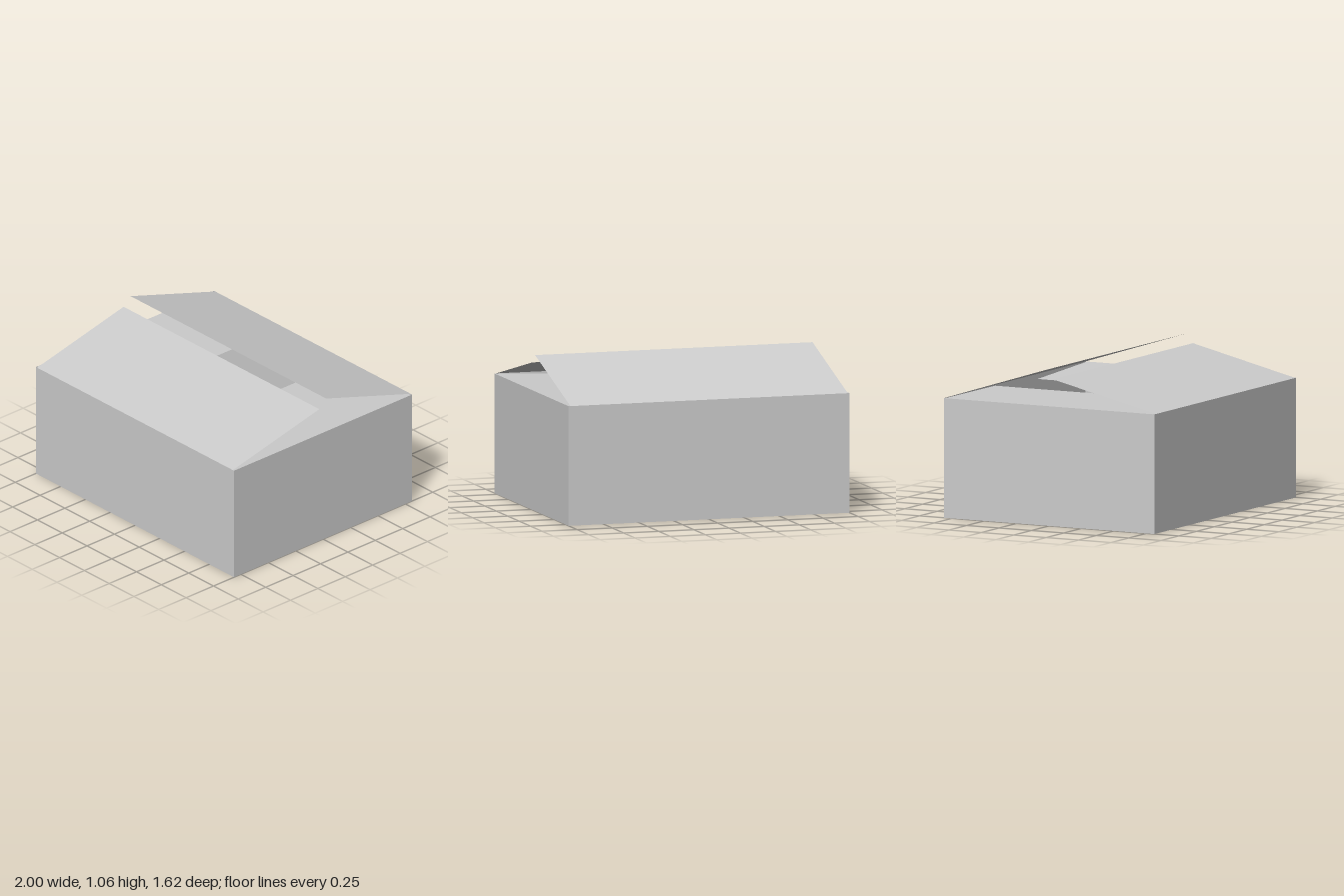
import * as THREE from 'three';

const W = 2, D = 1.625, H = 0.818;

export function createModel() {
  const model = new THREE.Group();
  const card = new THREE.MeshStandardMaterial({
    color: 0xcccccc, side: THREE.DoubleSide, flatShading: true,
  });

  // Thin upright sheet of card, facing the given heading
  const wall = (name, width, x, z, heading) => {
    const mesh = new THREE.Mesh(new THREE.PlaneGeometry(width, H), card);
    mesh.name = name;
    mesh.position.set(x, H / 2, z);
    mesh.rotation.y = heading;
    model.add(mesh);
  };
  wall('frontWall', W, 0, D / 2, 0);
  wall('backWall', W, 0, -D / 2, Math.PI);
  wall('leftWall', D, W / 2, 0, Math.PI / 2);
  wall('rightWall', D, -W / 2, 0, -Math.PI / 2);

  // Floor
  const floor = new THREE.Mesh(new THREE.PlaneGeometry(W, D).rotateX(Math.PI / 2), card);
  floor.name = 'floor';
  model.add(floor);

  // Flap hinged on the rim: reaches inward by its length, raised by the lift angle
  const flap = (name, width, length, x, z, heading, lift) => {
    const geometry = new THREE.PlaneGeometry(width, length)
      .rotateX(-Math.PI / 2)
      .translate(0, 0, -length / 2)
      .rotateX(lift);
    const mesh = new THREE.Mesh(geometry, card);
    mesh.name = name;
    mesh.position.set(x, H, z);
    mesh.rotation.y = heading;
    model.add(mesh);
  };
  flap('frontFlap', 1.974, 0.81, 0, D / 2, 0, Math.atan2(0.184, 0.79));
  flap('backFlap', 1.974, 0.81, 0, -D / 2, Math.PI, Math.atan2(0.242, 0.772));
  // Short side flaps, folded in beneath the long ones
  flap('leftFlap', 1.6, 0.7, W / 2, 0, Math.PI / 2, -0.045);
  flap('rightFlap', 1.6, 0.7, -W / 2, 0, -Math.PI / 2, -0.003);

  return model;
}
